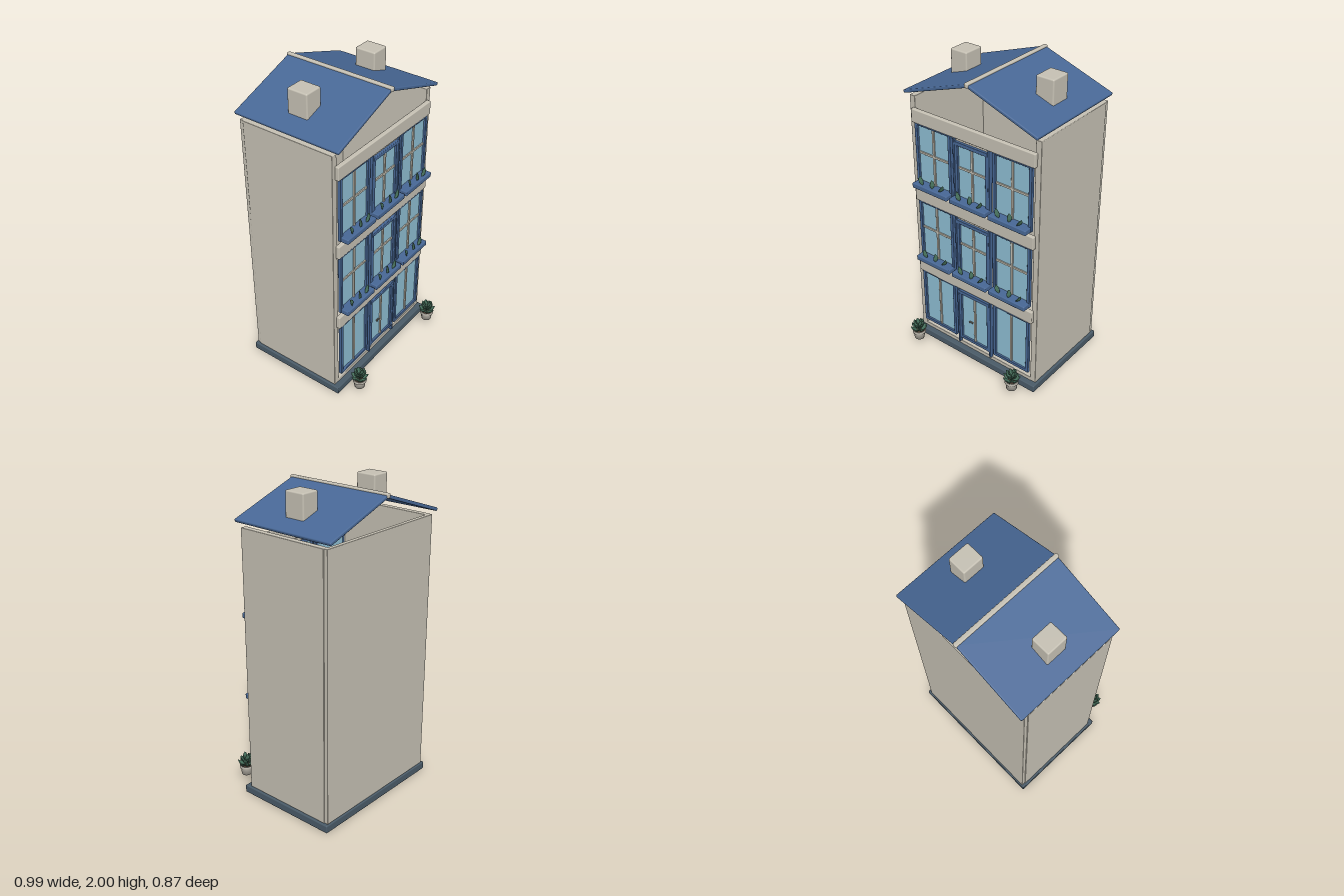
import * as THREE from 'three';
import { RoundedBoxGeometry } from 'three/addons/geometries/RoundedBoxGeometry.js';

const mat = (color, extra = {}) => new THREE.MeshStandardMaterial({ color, ...extra });

export function createModel() {
  const stone = mat(0xc6c1b4), blue = mat(0x486896), glass = mat(0x8fbfd4), slate = mat(0x4a5b68);
  const metal = mat(0x77736a), soil = mat(0x4a3c30);
  const green = mat(0x4a7560, { side: THREE.DoubleSide });
  const potStone = mat(0xc0bbb0, { side: THREE.DoubleSide });
  const house = new THREE.Group();
  house.name = 'townhouse';

  const add = (parent, name, geometry, material) => {
    const mesh = new THREE.Mesh(geometry, material);
    mesh.name = name;
    parent.add(mesh);
    return mesh;
  };
  // Softly bevelled box given by its limits on each axis
  const box = (parent, name, material, x0, x1, y0, y1, z0, z1, r = 0.004) => {
    const s = [x1 - x0, y1 - y0, z1 - z0];
    const mesh = add(parent, name, new RoundedBoxGeometry(...s, 2, Math.min(r, Math.min(...s) * 0.4)), material);
    mesh.position.set((x0 + x1) / 2, (y0 + y1) / 2, (z0 + z1) / 2);
    return mesh;
  };
  const group = (parent, name, x = 0, y = 0, z = 0) => {
    const g = new THREE.Group();
    g.name = name;
    g.position.set(x, y, z);
    parent.add(g);
    return g;
  };

  // Plinth and open-topped shell
  box(house, 'plinth', slate, -0.495, 0.495, 0, 0.05, -0.41, 0.287, 0.006);
  box(house, 'groundFloor', stone, -0.445, 0.445, 0.045, 0.075, -0.38, 0.25);
  box(house, 'backWall', stone, -0.475, 0.475, 0.05, 1.765, -0.4, -0.372);
  for (const s of [-1, 1]) {
    const wall = box(house, s > 0 ? 'leftWall' : 'rightWall', stone, -0.02, 0.02, 0.05, 1.765, -0.376, 0.25);
    wall.position.x = s * 0.46;
  }

  // Pointed leaf, cupped along its midrib, growing up +y
  const leafGeometry = (length, width) => {
    const shape = new THREE.Shape();
    shape.moveTo(0, 0);
    shape.bezierCurveTo(width * 0.7, length * 0.25, width * 0.6, length * 0.7, 0, length);
    shape.bezierCurveTo(-width * 0.6, length * 0.7, -width * 0.7, length * 0.25, 0, 0);
    const g = new THREE.ExtrudeGeometry(shape, { depth: 0.003, bevelEnabled: false, curveSegments: 5 });
    const p = g.attributes.position;
    for (let i = 0; i < p.count; i++) p.setZ(i, p.getZ(i) + Math.abs(p.getX(i)) * 0.35);
    g.computeVertexNormals();
    return g;
  };
  const boxLeaf = leafGeometry(0.06, 0.032);

  // Window box with three leaves
  const planter = (parent, half, y) => {
    box(parent, 'windowBox', blue, -half, half, y - 0.017, y + 0.017, 0.25, 0.321, 0.006);
    [[-0.068, 0.4, 0.3], [0.004, 0, 1.1], [0.062, -0.55, 1.15]].forEach(([x, tilt, turn]) => {
      const leaf = add(parent, 'boxLeaf', boxLeaf, green);
      leaf.position.set(x, y + 0.016, 0.298);
      leaf.rotation.set(0, turn, tilt, 'ZYX');
    });
  };

  // Framed pane with glazing bars
  const pane = (parent, half, y0, y1, barY) => {
    const f = 0.022;
    box(parent, 'glass', glass, -half + 0.01, half - 0.01, y0 + 0.01, y1 - 0.01, 0.251, 0.257, 0.001);
    for (const s of [-1, 1]) {
      const c = s * (half - f / 2);
      box(parent, 'frameSide', blue, c - f / 2, c + f / 2, y0, y1, 0.248, 0.271);
    }
    box(parent, 'frameTop', blue, -half, half, y1 - f / 2, y1, 0.248, 0.27);
    box(parent, 'frameBottom', blue, -half, half, y0, y0 + f, 0.248, 0.27);
    box(parent, 'glazingBar', stone, -0.007, 0.007, y0 + f, y1 - f / 2, 0.25, 0.266, 0.002);
    if (barY) box(parent, 'crossBar', stone, -half + f, half - f, barY - 0.007, barY + 0.007, 0.25, 0.265, 0.002);
  };

  // Three storeys: bottom of posts, bottom of windows, top, cross bar height
  const storeys = [
    { post: 0.08, y0: 0.12, y1: 0.527, lintel: 0.5 },
    { post: 0.62, y0: 0.64, y1: 1.067, lintel: 1.035, bar: 0.877, sill: 0.657 },
    { post: 1.157, y0: 1.18, y1: 1.602, lintel: 1.57, bar: 1.412, sill: 1.198 },
  ];
  storeys.forEach(({ post, y0, y1, lintel, bar, sill }, i) => {
    const storey = group(house, 'storey' + (i + 1));
    box(storey, 'fasciaBeam', stone, -0.455, 0.455, y1, y1 + 0.088, 0.245, 0.274, 0.006);
    for (const s of [-1, 1]) {
      const side = group(storey, 'sideWindow', s * 0.295);
      pane(side, 0.14, y0, y1, bar);
      if (sill) planter(side, 0.138, sill);
      const x = s * 0.13;
      box(storey, 'doorPost', blue, x - 0.007, x + 0.007, post, y1, 0.246, 0.273);
    }
    const centre = group(storey, sill ? 'centreWindow' : 'frontDoor');
    pane(centre, 0.125, y0, lintel, bar);
    box(centre, 'lintel', blue, -0.125, 0.125, lintel - 0.012, lintel + 0.013, 0.246, 0.274);
    box(centre, 'transom', stone, -0.123, 0.123, lintel + 0.012, y1, 0.247, 0.258, 0.002);
    if (sill) planter(centre, 0.137, sill);
    else {
      // Pair of small door knobs on a plate
      box(centre, 'handlePlate', metal, -0.045, -0.02, 0.281, 0.288, 0.256, 0.262, 0.001);
      for (const x of [-0.042, -0.023]) {
        add(centre, 'knob', new THREE.SphereGeometry(0.006, 10, 8), metal).position.set(x, 0.285, 0.264);
      }
    }
  });

  // Pitched roof, ridge cap and chimneys
  const roof = group(house, 'roof');
  const run = 0.481, rise = 0.166, slope = Math.atan2(rise, run);
  for (const s of [-1, 1]) {
    const panel = add(roof, 'roofPanel', new RoundedBoxGeometry(Math.hypot(run, rise) + 0.005, 0.021, 0.726, 2, 0.007), blue);
    panel.position.set(s * run / 2, 1.964 - rise / 2, -0.067);
    panel.rotation.z = -s * slope;
    box(roof, 'chimney', stone, s * 0.31 - 0.061, s * 0.31 + 0.061, 1.83, 2, -0.135, 0.003, 0.009);
  }
  box(roof, 'ridgeCap', stone, -0.014, 0.014, 1.953, 1.982, -0.436, 0.304, 0.008);

  // Potted plants at the front corners
  const potProfile = [[0, 0.055], [0.033, 0.055], [0.038, 0.1], [0.044, 0.102], [0.044, 0.12], [0.038, 0.12], [0.037, 0.112]]
    .map(([x, y]) => new THREE.Vector2(x, y));
  const potLeaf = leafGeometry(0.052, 0.03);
  for (const s of [-1, 1]) {
    const plant = group(house, 'pottedPlant', s * 0.393, 0, 0.381);
    add(plant, 'pot', new THREE.LatheGeometry(potProfile, 24), potStone);
    add(plant, 'soil', new THREE.CylinderGeometry(0.038, 0.038, 0.006, 20), soil).position.y = 0.111;
    // Rings of leaves, from spreading to upright: count, lean, root height, root radius
    [[9, 0.95, 0.118, 0.012], [7, 0.6, 0.137, 0.008], [4, 0.25, 0.15, 0.004]].forEach(([n, lean, y, r], ring) => {
      for (let k = 0; k < n; k++) {
        const a = (k + ring * 0.4) / n * Math.PI * 2;
        const leaf = add(plant, 'plantLeaf', potLeaf, green);
        leaf.position.set(Math.sin(a) * r, y + (k % 2) * 0.006, Math.cos(a) * r);
        leaf.rotation.set(lean, a, 0, 'YXZ');
        const stem = add(plant, 'stem', new THREE.CylinderGeometry(0.0015, 0.0015, y - 0.108, 5), green);
        stem.position.set(Math.sin(a) * r, (y + 0.11) / 2, Math.cos(a) * r);
      }
    });
  }
  return house;
}
